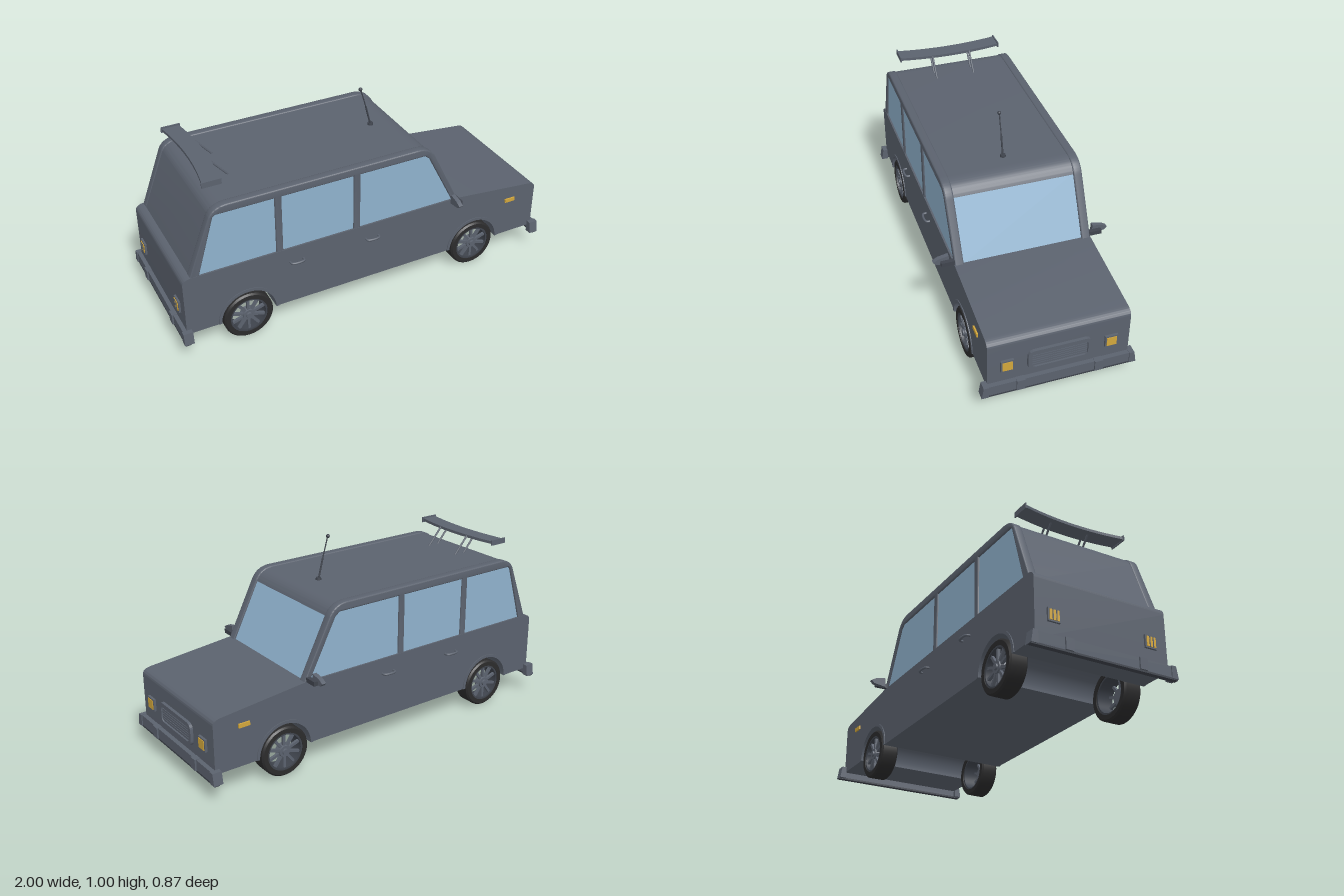
import * as THREE from 'three';
import { toCreasedNormals } from 'three/addons/utils/BufferGeometryUtils.js';

const mat = (name, color, extra = {}) => Object.assign(new THREE.MeshStandardMaterial({ color, ...extra }), { name });

export function createModel() {
  const body = mat('slate paint', 0x5b626e);
  const trim = mat('dark trim', 0x3f444d);
  const rubber = mat('tyre rubber', 0x2b2b2c);
  const glass = mat('window glass', 0x8fb2cd, { side: THREE.DoubleSide });
  const amber = mat('amber lamp', 0xd3a73c);
  const car = new THREE.Group();
  car.name = 'car';

  const add = (parent, name, geo, material, x = 0, y = 0, z = 0) => {
    const m = new THREE.Mesh(geo, material);
    m.name = name;
    m.position.set(x, y, z);
    parent.add(m);
    return m;
  };
  const box = (parent, name, w, h, d, material, x, y, z) =>
    add(parent, name, new THREE.BoxGeometry(w, h, d), material, x, y, z);
  const poly = (pts) => new THREE.Shape(pts.map(([x, y]) => new THREE.Vector2(x, y)));
  const extrude = (shape, depth, opts = {}) => toCreasedNormals(
    new THREE.ExtrudeGeometry(shape, { depth, bevelEnabled: false, curveSegments: 20, ...opts }), 0.6);
  const rod = (parent, name, a, b, r, material) => {
    const A = new THREE.Vector3(...a), B = new THREE.Vector3(...b);
    const m = add(parent, name, new THREE.CylinderGeometry(r, r, A.distanceTo(B), 12), material);
    m.position.copy(A).lerp(B, 0.5);
    m.quaternion.setFromUnitVectors(new THREE.Vector3(0, 1, 0), B.sub(A).normalize());
    return m;
  };
  const roundRect = (w, h, r, Kind = THREE.Shape) => {
    const s = new Kind(), a = w / 2, b = h / 2;
    s.moveTo(-a + r, -b).lineTo(a - r, -b).quadraticCurveTo(a, -b, a, -b + r);
    s.lineTo(a, b - r).quadraticCurveTo(a, b, a - r, b).lineTo(-a + r, b);
    s.quadraticCurveTo(-a, b, -a, b - r).lineTo(-a, -b + r).quadraticCurveTo(-a, -b, -a + r, -b);
    return s;
  };

  const axles = [-0.66, 0.6], axleY = 0.125, archR = 0.14;

  // Lower body with wheel arches cut through
  const side = new THREE.Shape();
  side.moveTo(-0.972, 0.13);
  for (const x of axles) {
    side.lineTo(x - archR, 0.13);
    side.absarc(x, 0.13, archR, Math.PI, 0, true);
  }
  side.lineTo(0.97, 0.13).lineTo(0.97, 0.37).quadraticCurveTo(0.97, 0.395, 0.93, 0.4);
  side.lineTo(0.49, 0.445).lineTo(-0.935, 0.445).quadraticCurveTo(-0.972, 0.44, -0.972, 0.41);
  add(car, 'lowerBody', extrude(side, 0.68), body, 0, 0, -0.34);

  // Arch lips
  for (const x of axles) for (const s of [-1, 1]) {
    const lip = new THREE.Shape();
    lip.absarc(0, 0, 0.155, 0, Math.PI, false);
    lip.absarc(0, 0, archR, Math.PI, 0, true);
    add(car, 'archLip', extrude(lip, 0.008), body, x, 0.13, s * 0.34 - 0.004);
  }

  // Side frames of the cabin with three window openings
  const frame = () => {
    const f = new THREE.Shape();
    f.moveTo(-0.94, 0.42).lineTo(0.498, 0.42).lineTo(0.345, 0.725);
    f.quadraticCurveTo(0.315, 0.787, 0.24, 0.787).lineTo(-0.73, 0.787);
    f.quadraticCurveTo(-0.805, 0.785, -0.825, 0.73);
    return f;
  };
  const windows = [
    [[-0.887, 0.445], [-0.505, 0.445], [-0.505, 0.745], [-0.79, 0.745], [-0.802, 0.735]],
    [[-0.47, 0.445], [-0.1, 0.445], [-0.1, 0.745], [-0.47, 0.745]],
    [[-0.065, 0.445], [0.455, 0.445], [0.31, 0.725], [0.285, 0.745], [-0.065, 0.745]],
  ];
  for (const s of [-1, 1]) {
    const f = frame();
    f.holes = windows.map((w) => new THREE.Path(poly(w).getPoints()));
    const bevel = { bevelEnabled: true, bevelThickness: 0.006, bevelSize: 0.006, bevelOffset: -0.006, bevelSegments: 3 };
    add(car, 'cabinSide', extrude(f, 0.031, bevel), body, 0, 0, s * 0.317 - 0.0155);
    for (const w of windows) {
      const pane = w.map(([x, y]) => [x, y]);
      add(car, 'sideWindow', extrude(poly(pane), 0.006), glass, 0, 0, s * 0.328 - 0.003);
    }
  }

  // Roof and tail panel as one bent shell
  const shell = new THREE.Shape();
  shell.moveTo(-0.935, 0.43).lineTo(-0.82, 0.73).quadraticCurveTo(-0.8, 0.782, -0.73, 0.782);
  shell.lineTo(0.24, 0.782).quadraticCurveTo(0.31, 0.782, 0.338, 0.725);
  shell.lineTo(0.32, 0.725).quadraticCurveTo(0.3, 0.76, 0.24, 0.762).lineTo(-0.73, 0.762);
  shell.quadraticCurveTo(-0.785, 0.762, -0.8, 0.73).lineTo(-0.91, 0.43);
  add(car, 'roofAndTail', extrude(shell, 0.6), body, 0, 0, -0.3);

  // Windscreen set between the front pillars
  const screen = poly([[0.478, 0.44], [0.334, 0.728], [0.328, 0.726], [0.472, 0.44]]);
  add(car, 'windscreen', extrude(screen, 0.594), glass, 0, 0, -0.297);

  // Wheels: tyre, rim ring, ten spokes and hub
  const ring = (pts) => toCreasedNormals(
    new THREE.LatheGeometry(pts.map(([r, y]) => new THREE.Vector2(r, y)), 40).toNonIndexed(), 0.6).rotateX(Math.PI / 2);
  const tyreGeo = ring([[0.095, -0.045], [0.117, -0.045], [0.125, -0.037], [0.125, 0.037], [0.117, 0.045], [0.095, 0.045], [0.095, -0.045]]);
  const rimGeo = ring([[0.086, -0.04], [0.096, -0.04], [0.096, 0.042], [0.086, 0.042], [0.086, -0.04]]);
  for (const x of axles) for (const s of [-1, 1]) {
    const w = new THREE.Group();
    w.name = 'wheel';
    w.position.set(x, axleY, s * 0.296);
    if (s < 0) w.rotation.y = Math.PI;
    add(w, 'tyre', tyreGeo, rubber);
    add(w, 'rim', rimGeo, trim);
    add(w, 'hub', new THREE.CylinderGeometry(0.028, 0.036, 0.03, 24).rotateX(Math.PI / 2), body, 0, 0, 0.025);
    add(w, 'hubCap', new THREE.CylinderGeometry(0.014, 0.016, 0.01, 16).rotateX(Math.PI / 2), body, 0, 0, 0.043);
    for (let i = 0; i < 10; i++) {
      const g = new THREE.BoxGeometry(0.013, 0.062, 0.014).translate(0, 0.06, 0.028).rotateZ(i * Math.PI / 5);
      add(w, 'spoke', g, body);
    }
    car.add(w);
  }

  // Bumper and lamps for each end
  const endGroup = (name, turned) => {
    const e = new THREE.Group();
    e.name = name;
    if (turned) e.rotation.y = Math.PI;
    const bar = poly([[-0.373, 0.1], [0.373, 0.1], [0.363, 0.153], [-0.363, 0.153]]);
    add(e, 'bumperBar', extrude(bar, 0.024).rotateY(Math.PI / 2), body, 0.968);
    box(e, 'bumperLip', 0.024, 0.009, 0.746, trim, 0.98, 0.0955, 0);
    for (const s of [-1, 1]) {
      const ret = poly([[-s * 0.34, 0.095], [-s * 0.374, 0.095], [-s * 0.364, 0.155], [-s * 0.34, 0.155]]);
      add(e, 'bumperEnd', extrude(ret, 0.047).rotateY(Math.PI / 2), body, 0.95);
      box(e, 'bumperGuard', 0.03, 0.056, 0.04, body, 0.985, 0.127, s * 0.188);
      box(e, 'lampFrame', 0.016, 0.062, 0.062, body, 0.974, 0.25, s * 0.249);
      box(e, 'lamp', 0.008, 0.048, 0.048, amber, 0.981, 0.25, s * 0.249);
      if (turned) for (const k of [-1, 1])
        box(e, 'lampDivider', 0.003, 0.048, 0.004, body, 0.986, 0.25, s * 0.249 + k * 0.009);
    }
    car.add(e);
    return e;
  };
  const front = endGroup('frontEnd', false);
  endGroup('rearEnd', true);

  // Grille surround with slats
  const surround = roundRect(0.305, 0.115, 0.035);
  surround.holes.push(roundRect(0.268, 0.082, 0.022, THREE.Path));
  add(front, 'grilleSurround', extrude(surround, 0.018).rotateY(Math.PI / 2), body, 0.967, 0.248, 0);
  add(front, 'grilleBack', extrude(roundRect(0.27, 0.084, 0.022), 0.004).rotateY(Math.PI / 2), trim, 0.968, 0.248, 0);
  for (let i = 0; i < 6; i++)
    box(front, 'grilleSlat', 0.01, 0.01, 0.264, body, 0.974, 0.2155 + i * 0.013, 0);

  // Markers, door handles and door mirrors
  for (const s of [-1, 1]) {
    box(car, 'sideMarker', 0.058, 0.02, 0.009, amber, 0.815, 0.335, s * 0.343);
    for (const x of [-0.405, 0]) {
      const path = new THREE.CatmullRomCurve3([[-0.035, 0.335], [-0.032, 0.356], [-0.018, 0.362], [0.018, 0.362], [0.032, 0.356], [0.035, 0.335]]
        .map(([u, z]) => new THREE.Vector3(x + u, 0.367, s * z)));
      add(car, 'doorHandle', new THREE.TubeGeometry(path, 24, 0.006, 8), body);
    }
    const shape = poly([[0.358, 0.44], [0.422, 0.449], [0.436, 0.464], [0.41, 0.479], [0.36, 0.489]].map(([z, y]) => [-s * z, y]));
    add(car, 'mirrorHead', extrude(shape, 0.022).rotateY(Math.PI / 2), body, 0.435);
    box(car, 'mirrorArm', 0.022, 0.022, 0.066, trim, 0.466, 0.456, s * 0.368);
  }

  // Roof spoiler: bowed blade, end plates and struts
  const blade = new THREE.Shape();
  blade.moveTo(-0.815, -0.268).quadraticCurveTo(-0.765, 0, -0.815, 0.268);
  blade.lineTo(-0.73, 0.268).quadraticCurveTo(-0.68, 0, -0.73, -0.268);
  add(car, 'spoilerBlade', extrude(blade, 0.014).rotateX(Math.PI / 2), body, 0, 0.876, 0);
  for (const s of [-1, 1]) {
    box(car, 'spoilerEnd', 0.095, 0.028, 0.006, body, -0.772, 0.869, s * 0.271);
    rod(car, 'spoilerStrut', [-0.765, 0.866, s * 0.102], [-0.69, 0.778, s * 0.102], 0.005, body);
    rod(car, 'spoilerStrut', [-0.71, 0.87, s * 0.102], [-0.63, 0.778, s * 0.102], 0.005, body);
  }

  // Aerial
  add(car, 'aerialBase', new THREE.CylinderGeometry(0.013, 0.015, 0.012, 16), trim, 0.168, 0.787, 0);
  rod(car, 'aerialSleeve', [0.167, 0.787, 0], [0.142, 0.885, 0], 0.0045, trim);
  rod(car, 'aerialRod', [0.142, 0.885, 0], [0.111, 0.992, 0], 0.003, trim);
  add(car, 'aerialTip', new THREE.SphereGeometry(0.0095, 16, 12), trim, 0.11, 0.991, 0);

  return car;
}
